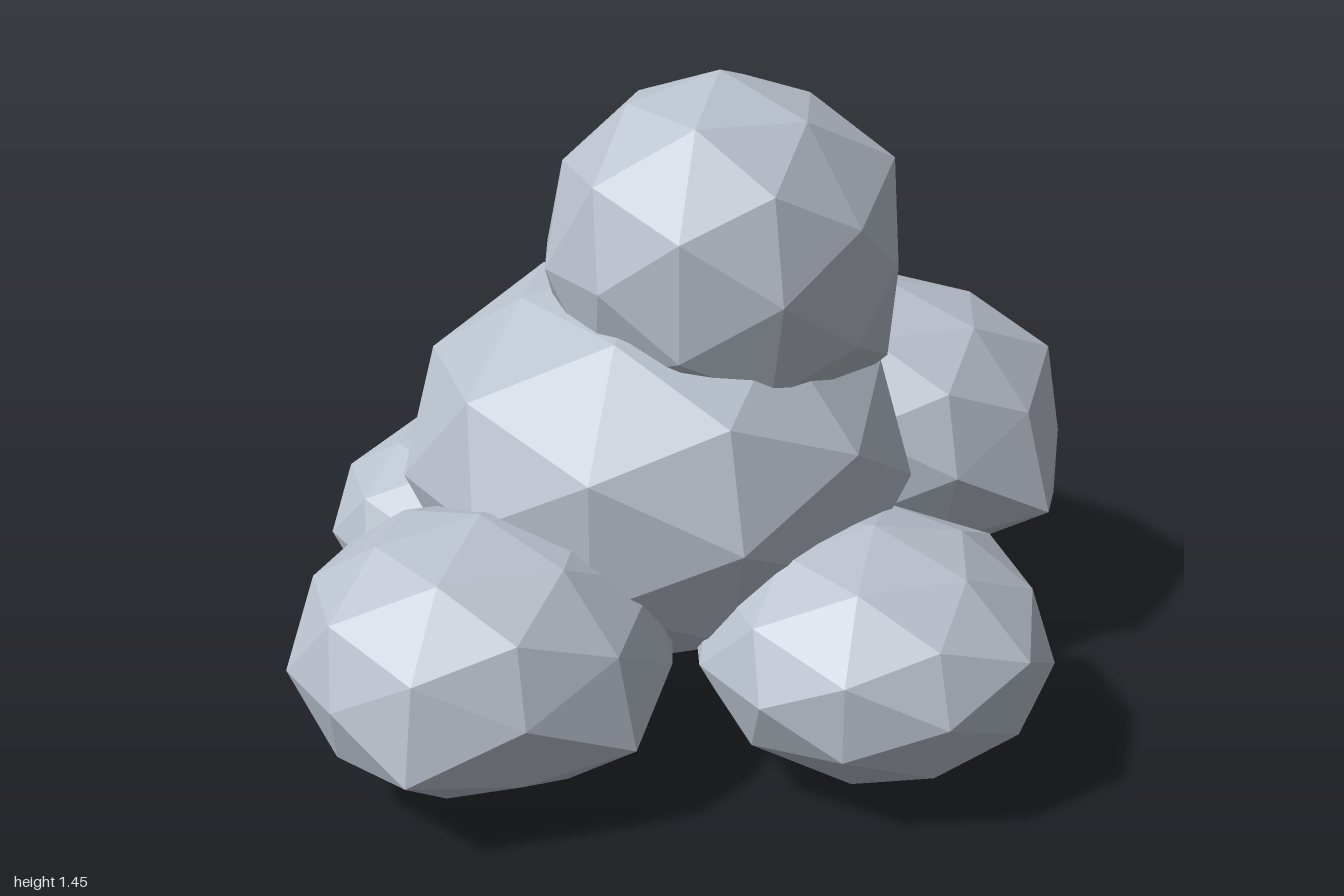
import * as THREE from 'three';

// Each puff: name, centre, radii, and a few bulges [direction, radial stretch]
const PUFFS = [
  ['corePuff', [-0.07, 0.565, 0.03], [0.59, 0.46, 0.64], []],
  ['topPuff', [0.06, 1.04, 0.1], [0.4, 0.415, 0.425], [
    [[0.81, 0.5, 0.31], 1.1], [[0.81, -0.5, 0.31], 1.1], [[0.31, 0.81, -0.5], 1.06],
  ]],
  ['leftPuff', [0.55, 0.535, -0.09], [0.43, 0.345, 0.45], [
    [[0.81, -0.5, 0.31], 1.17], [[0.5, -0.31, 0.81], 1.17],
    [[0.81, 0.5, 0.31], 1.07], [[0.5, 0.31, -0.81], 1.12],
  ]],
  ['frontRightPuff', [-0.56, 0.31, 0.395], [0.42, 0.3, 0.395], [
    [[-0.5, -0.31, 0.81], 1.13], [[0.5, -0.31, 0.81], 1.12], [[-0.5, 0.31, -0.81], 1.12],
  ]],
  ['frontLeftPuff', [0.25, 0.29, 0.59], [0.39, 0.27, 0.41], [
    [[0.81, 0.5, -0.31], 1.08], [[0.5, 0.31, 0.81], 1.04],
  ]],
  ['backPuff', [0.2, 0.395, -0.63], [0.385, 0.26, 0.37], []],
  ['backRightPuff', [-0.43, 0.29, -0.32], [0.36, 0.25, 0.37], [
    [[-0.5, 0.31, -0.81], 1.08], [[0.5, 0.31, -0.81], 1.08],
  ]],
];

// Faceted ball, squashed to its radii with a few corners pushed outwards
function puffGeometry(radii, bulges) {
  const geometry = new THREE.IcosahedronGeometry(1, 1);
  const position = geometry.attributes.position;
  const v = new THREE.Vector3();
  for (let i = 0; i < position.count; i++) {
    v.fromBufferAttribute(position, i);
    const bulge = bulges.find(([d]) => v.dot(new THREE.Vector3(...d)) > 0.97);
    if (bulge) v.multiplyScalar(bulge[1]);
    position.setXYZ(i, v.x * radii[0], v.y * radii[1], v.z * radii[2]);
  }
  geometry.computeVertexNormals();
  return geometry;
}

export function createModel() {
  const group = new THREE.Group();
  group.name = 'puffCluster';
  const material = new THREE.MeshStandardMaterial({ color: 0xb8c0cc, flatShading: true });
  material.name = 'paleBlueGrey';

  for (const [name, centre, radii, bulges] of PUFFS) {
    const puff = new THREE.Mesh(puffGeometry(radii, bulges), material);
    puff.name = name;
    puff.position.set(...centre);
    group.add(puff);
  }
  return group;
}
